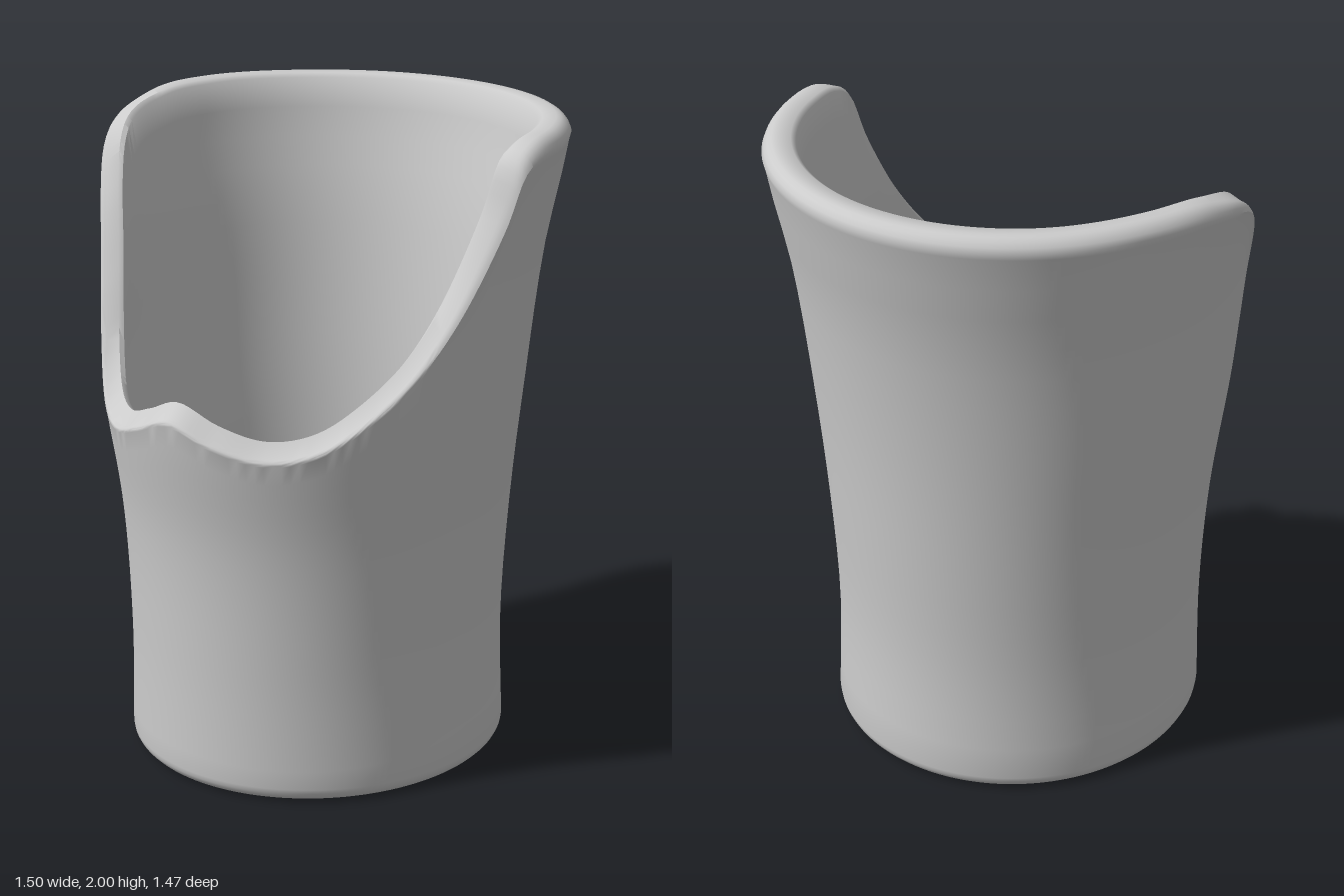
import * as THREE from 'three';
import { toCreasedNormals } from 'three/addons/utils/BufferGeometryUtils.js';

const COLUMNS = 180, CENTRE_Z = 0.03;
const FLOOR = 0.2, FILLET_TOP = 0.5, FLOOR_RADIUS = 0.38, HOLE_RADIUS = 0.148;

// Radius against height (evenly spaced from y = 0 to y = 2)
const radiusCurve = (radii) =>
  new THREE.SplineCurve(radii.map((r, i) => new THREE.Vector2(r, i * 2 / (radii.length - 1))));
const sideRadius = radiusCurve([0.583, 0.575, 0.597, 0.64, 0.685, 0.757]);
const backRadius = radiusCurve([0.605, 0.59, 0.61, 0.64, 0.69, 0.768]);
const frontRadius = radiusCurve([0.62, 0.62, 0.64, 0.705, 0.725, 0.76]);

function outerRadius(angle, y) {
  const t = THREE.MathUtils.clamp(y / 2, 0, 1), c = Math.cos(angle);
  const end = (c > 0 ? frontRadius : backRadius).getPoint(t).x;
  return THREE.MathUtils.lerp(sideRadius.getPoint(t).x, end, c * c);
}

const backness = (angle) => THREE.MathUtils.smoothstep(-Math.cos(angle), -0.7, 0.3);
const innerRadius = (angle, y) => outerRadius(angle, y) - 0.075 - 0.03 * backness(angle);

// Rim line: angle from the front in degrees (positive to the left side), height
const rimLine = new THREE.CatmullRomCurve3([
  [-180, 2], [-140, 2], [-110, 2], [-93, 1.985], [-77, 1.92], [-67, 1.75], [-57, 1.5],
  [-47, 1.27], [-38, 1.18], [-25, 1.155], [-12, 1.2], [0, 1.25], [12, 1.2], [25, 1.165],
  [38, 1.19], [50, 1.27], [66, 1.42], [79, 1.61], [87, 1.8], [91, 1.95], [97, 1.99],
  [110, 2], [140, 2], [180, 2],
].map(([a, y]) => new THREE.Vector3(THREE.MathUtils.degToRad(a), y, 0)));

// Closed cross-section of the cup at one angle: [radius, height] pairs
function section(angle, rim) {
  const out = (y) => outerRadius(angle, y), inn = (y) => innerRadius(angle, y);
  const back = backness(angle), tilt = 0.045 * (1 - back), round = 0.02 + 0.04 * back;
  const p = [[HOLE_RADIUS, 0], [0.35, 0]];
  // rounded foot
  for (let i = 0; i <= 5; i++) {
    const a = i / 5 * Math.PI / 2;
    p.push([out(0) - 0.045 * (1 - Math.sin(a)), 0.045 * (1 - Math.cos(a))]);
  }
  // outer wall
  const outerTop = rim - tilt - round;
  for (let i = 1; i <= 18; i++) {
    const y = THREE.MathUtils.lerp(0.045, outerTop, i / 18);
    p.push([out(y), y]);
  }
  // rounded outer edge, sloping top and inner edge
  for (let i = 1; i <= 5; i++) {
    const a = i / 5 * Math.PI / 2;
    p.push([out(rim - tilt) - round * 0.8 * (1 - Math.cos(a)), outerTop + round * Math.sin(a)]);
  }
  p.push([inn(rim) + 0.015, rim - 0.003], [inn(rim), rim - 0.015]);
  // inner wall
  for (let i = 1; i <= 16; i++) {
    const y = THREE.MathUtils.lerp(rim - 0.015, FILLET_TOP, i / 16);
    p.push([inn(y), y]);
  }
  // curve into the floor
  for (let i = 1; i <= 8; i++) {
    const a = i / 8 * Math.PI / 2;
    p.push([
      FLOOR_RADIUS + (inn(FILLET_TOP) - FLOOR_RADIUS) * Math.cos(a),
      FILLET_TOP - (FILLET_TOP - FLOOR) * Math.sin(a),
    ]);
  }
  // floor and drain hole
  p.push([HOLE_RADIUS + 0.02, FLOOR], [HOLE_RADIUS + 0.006, FLOOR - 0.006],
    [HOLE_RADIUS, FLOOR - 0.02], [HOLE_RADIUS, 0]);
  return p;
}

function cupGeometry() {
  const positions = [], index = [];
  let rows = 0;
  rimLine.getSpacedPoints(COLUMNS).slice(0, COLUMNS).forEach(({ x: angle, y: rim }) => {
    const points = section(angle, rim);
    rows = points.length;
    for (const [r, y] of points) {
      const z = r < 0.2 ? 0.02 : CENTRE_Z;
      positions.push(r * Math.sin(angle), y, z + r * Math.cos(angle));
    }
  });
  for (let i = 0; i < COLUMNS; i++) {
    const a = i * rows, b = ((i + 1) % COLUMNS) * rows;
    for (let j = 0; j < rows - 1; j++) {
      index.push(a + j, b + j, b + j + 1, a + j, b + j + 1, a + j + 1);
    }
  }
  const geometry = new THREE.BufferGeometry();
  geometry.setAttribute('position', new THREE.Float32BufferAttribute(positions, 3));
  geometry.setIndex(index);
  return toCreasedNormals(geometry, Math.PI / 4);
}

export function createModel() {
  const group = new THREE.Group();
  group.name = 'cutawayCup';
  const cup = new THREE.Mesh(cupGeometry(), new THREE.MeshStandardMaterial({ color: 0xcccccc }));
  cup.name = 'cupBody';
  group.add(cup);
  return group;
}
